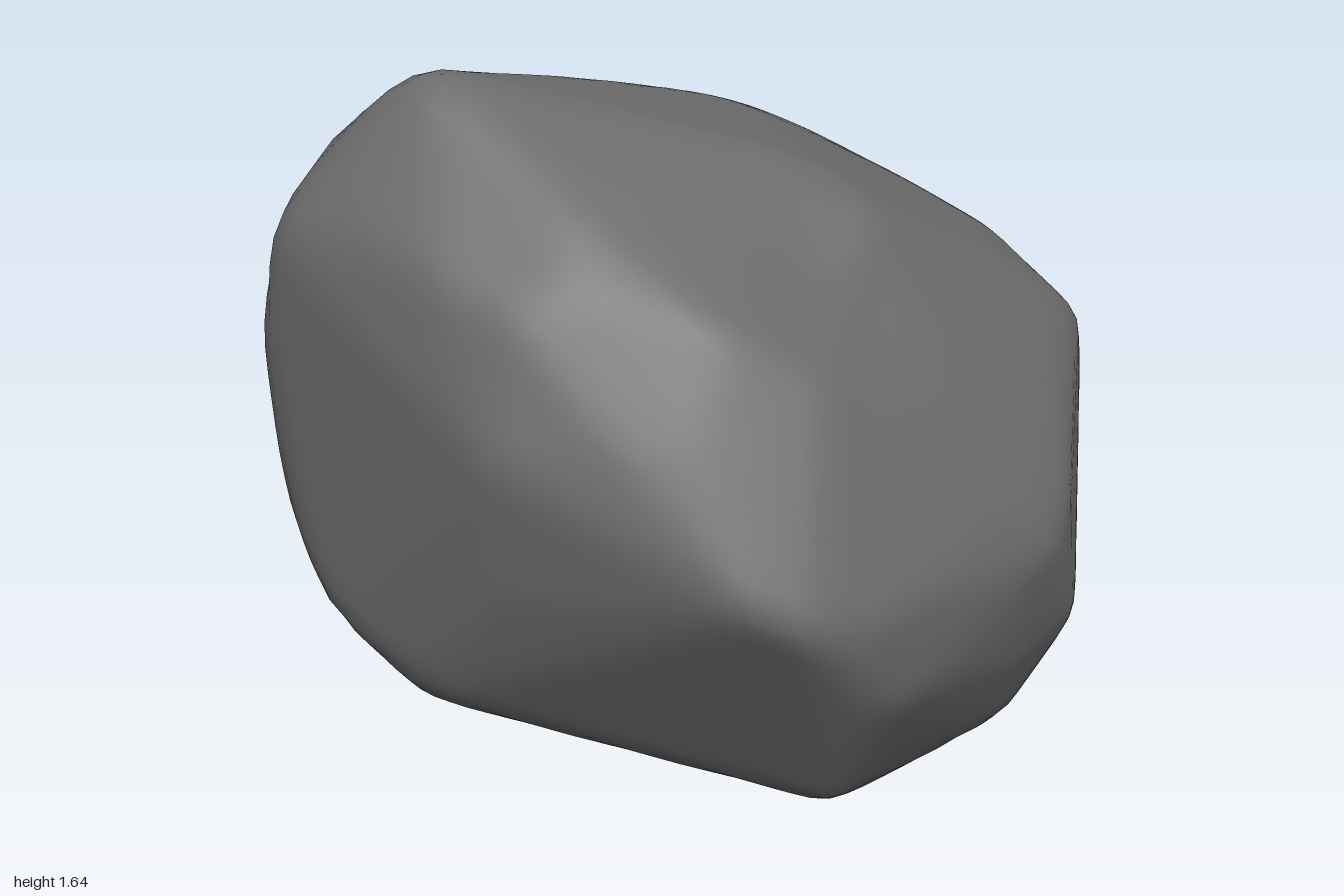
import * as THREE from 'three';
import { mergeVertices } from 'three/addons/utils/BufferGeometryUtils.js';
import { ConvexGeometry } from 'three/addons/geometries/ConvexGeometry.js';

const MID = 0.78; // height of the boulder's centre
const V = (x, y, z) => new THREE.Vector3(x, y, z);
const X = V(1, 0, 0), Y = V(0, 1, 0), Z = V(0, 0, 1);

// Outline points (u, v pairs) placed on the plane spanned by two axes
function outline(values, across, up, midV = 0) {
  const points = [];
  for (let i = 0; i < values.length; i += 2) {
    points.push(across.clone().multiplyScalar(values[i]).addScaledVector(up, values[i + 1] - midV));
  }
  return { points, axis: across.clone().cross(up).normalize() };
}

// A diagonal outline, turned about the upright and tilted
function diagonal(values, turn, tilt) {
  const across = V(Math.cos(turn), 0, -Math.sin(turn));
  const up = V(-Math.sin(tilt) * Math.sin(turn), Math.cos(tilt), -Math.sin(tilt) * Math.cos(turn));
  return outline(values, across, up);
}

// Width and height
const front = outline([-0.42, 1.56, 0.23, 1.43, 0.38, 1.32, 0.6, 1.09, 0.8, 0.63, 0.78, 0.4, 0.56, 0.05,
  0.37, 0, -0.41, 0.16, -0.67, 0.4, -0.79, 0.73, -0.8, 1.04, -0.68, 1.33], X, Y, MID);

// Depth and height
const side = outline([0.5, 1.56, -0.27, 1.48, -0.86, 1.09, -1, 0.96, -0.54, 0.1, -0.3, 0.03,
  0.09, 0, 0.73, 0.22, 0.98, 0.46, 1, 1.2, 0.99, 1.32, 0.75, 1.48], Z, Y, MID);

// Width and depth
const plan = outline([-0.03, -1, 0.3, -0.87, 0.65, -0.51, 0.74, -0.2, 0.8, 0.22, 0.78, 0.42, 0.72, 0.51,
  0.28, 0.84, -0.45, 1, -0.71, 0.77, -0.8, 0.35, -0.77, -0.05, -0.63, -0.5, -0.21, -0.88], X, Z);

// Diagonals
const TURN = 0.61, TILT = 0.436;
const diagonalA = diagonal([-0.62, 0.67, -0.18, 0.77, 0.03, 0.77, 0.49, 0.58, 0.74, 0.38, 0.82, -0.34,
  0.68, -0.63, 0.37, -0.86, -0.62, -0.7, -0.96, -0.35, -1.02, 0, -0.9, 0.45], TURN, TILT);
const diagonalB = diagonal([0.15, 0.8, 0.62, 0.82, 0.85, 0.77, 1.02, 0.22, 1.02, 0.03, 0.45, -0.6,
  -0.44, -0.73, -0.68, -0.7, -0.83, -0.42, -0.83, -0.06, -0.33, 0.56], Math.PI + TURN, TILT);
const diagonalC = diagonal([0.3, 0.65, 0.56, 0.6, 0.72, 0.38, 0.8, 0.08, 0.53, -0.53, -0.08, -0.86,
  -0.46, -0.77, -0.88, -0.09, -0.64, 0.35, -0.25, 0.62], Math.PI - TURN, -TILT);

const OUTLINES = [front, side, plan, diagonalA, diagonalB, diagonalC];

// Planes through the sides of each outline: the loosest shape that fits them all
const OUTER = OUTLINES.flatMap(({ points, axis }) => points.map((a, i) => {
  const b = points[(i + 1) % points.length];
  const normal = b.clone().sub(a).cross(axis).normalize();
  if (normal.dot(a) < 0) normal.negate();
  return { normal, offset: Math.max(...points.map((p) => p.dot(normal))) };
}));

// The likely place on the stone of an outline point: halfway through the loose shape
function rimPoint(point, axis) {
  let near = -2, far = 2;
  for (const { normal, offset } of OUTER) {
    const slope = normal.dot(axis);
    if (Math.abs(slope) < 0.02) continue;
    const t = (offset - normal.dot(point)) / slope;
    if (slope > 0) far = Math.min(far, t);
    else near = Math.max(near, t);
  }
  return point.clone().addScaledVector(axis, (near + far) / 2);
}

// Planes of the tightest shape that still reaches every outline corner and edge middle
function innerPlanes() {
  const rim = OUTLINES.flatMap(({ points, axis }) => points.flatMap((p, i) => {
    const middle = p.clone().lerp(points[(i + 1) % points.length], 0.5);
    return [rimPoint(p, axis), rimPoint(middle, axis)];
  }));
  const pos = new ConvexGeometry(rim).attributes.position;
  const planes = [];
  for (let i = 0; i < pos.count; i += 3) {
    const [a, b, c] = [0, 1, 2].map((k) => V(0, 0, 0).fromBufferAttribute(pos, i + k));
    const normal = b.sub(a).cross(c.sub(a));
    if (normal.length() < 1e-7) continue;
    normal.normalize();
    planes.push({ normal, offset: normal.dot(a) });
  }
  return planes;
}

// Distance from the centre to the nearest of some planes
function reach(dir, planes) {
  let r = 2;
  for (const { normal, offset } of planes) {
    const d = normal.dot(dir);
    if (d > 1e-4) r = Math.min(r, offset / d);
  }
  return r;
}

// Blend of tight and loose shapes, averaged over nearby directions to wear the ridges
function wornReach(dir, inner) {
  const blend = (d) => 0.65 * reach(d, inner) + 0.35 * reach(d, OUTER);
  const right = V(0.31, 0.87, 0.39).cross(dir).normalize();
  const over = dir.clone().cross(right);
  let sum = blend(dir) * 2;
  for (let i = 0; i < 6; i++) {
    const a = (i * Math.PI) / 3;
    const near = dir.clone().addScaledVector(right, 0.045 * Math.cos(a)).addScaledVector(over, 0.045 * Math.sin(a));
    sum += blend(near.normalize());
  }
  return sum / 8;
}

export function createModel() {
  const group = new THREE.Group();
  group.name = 'boulder';

  const base = new THREE.IcosahedronGeometry(1, 22);
  base.deleteAttribute('normal');
  base.deleteAttribute('uv');
  const geometry = mergeVertices(base, 1e-4);
  const pos = geometry.attributes.position;
  const inner = innerPlanes();
  const dent = V(0.47, 0.44, 0.08); // shallow hollow on the upper flank
  const p = V(0, 0, 0);
  for (let i = 0; i < pos.count; i++) {
    p.fromBufferAttribute(pos, i).normalize();
    p.multiplyScalar(wornReach(p, inner));
    const d = p.distanceTo(dent);
    p.multiplyScalar(1 - 0.05 * Math.exp(-(d * d) / 0.04));
    pos.setXYZ(i, p.x, p.y + MID, p.z);
  }
  geometry.computeVertexNormals();

  const stone = new THREE.Mesh(geometry, new THREE.MeshStandardMaterial({ color: 0x6a6a6a }));
  stone.name = 'stone';
  group.add(stone);
  return group;
}
